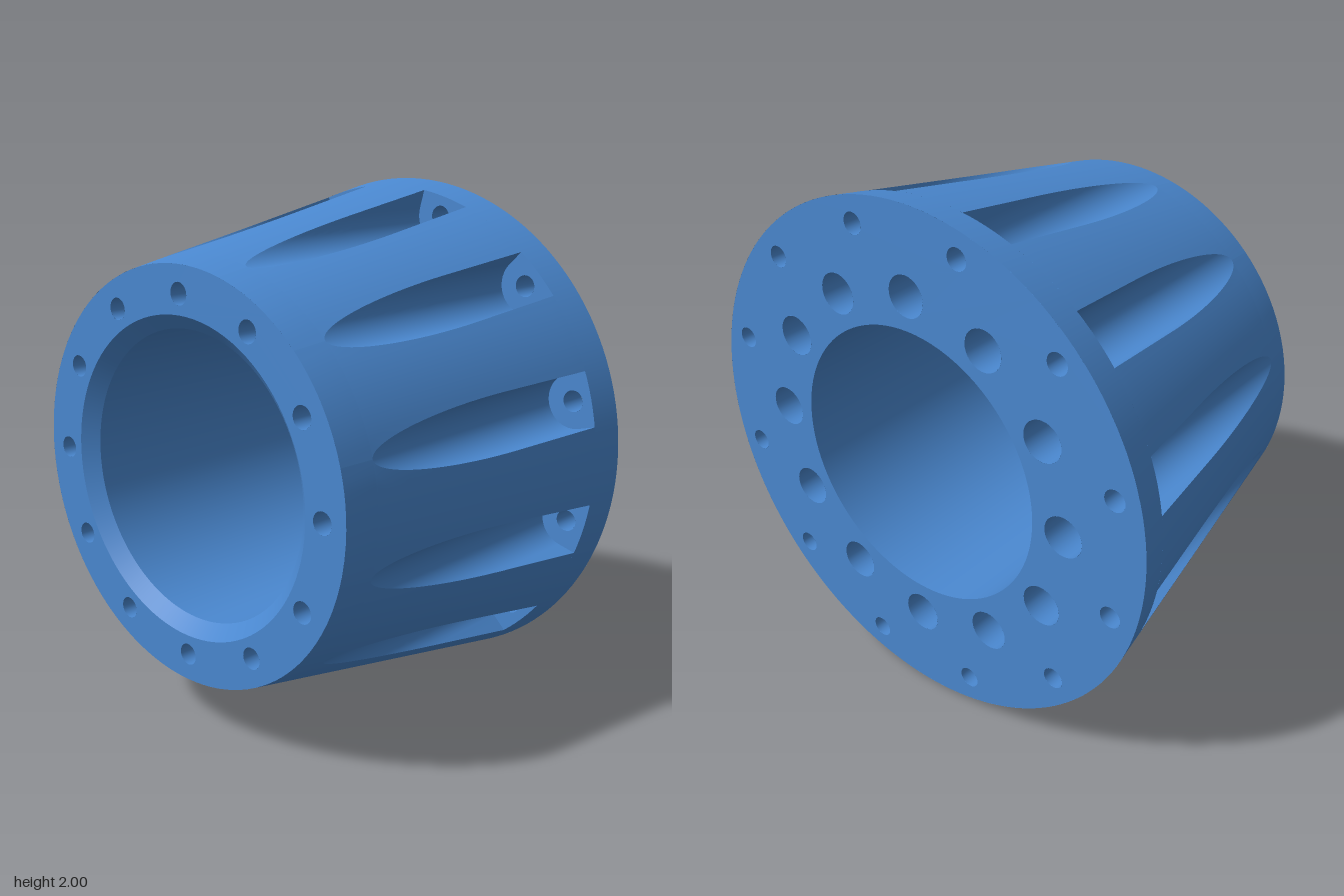
import * as THREE from 'three';

const BACK = -0.64, FRONT = 0.64, R_BACK = 1, R_FRONT = 0.772;
const BORE = 0.54, CHAMFER = 0.595, COUNT = 12, STEP = Math.PI * 2 / COUNT;
const SLOT_R = 0.105, SLOT_C = 0.9, SLOT_BACK = -0.515;   // flute radius, pitch radius, flat end
const BOLT_C = 0.67, BOLT_R = 0.041, BIG_R = 0.078, BIG_END = 0.51;
const coneR = z => R_BACK + (R_FRONT - R_BACK) * (z - BACK) / (FRONT - BACK);
const coneZ = r => BACK + (r - R_BACK) / (R_FRONT - R_BACK) * (FRONT - BACK);

// flute cross-section where the cone has radius r: [across, outward] points
function slotProfile(r, n = 24) {
  const c = (SLOT_C ** 2 + SLOT_R ** 2 - r * r) / (2 * SLOT_C * SLOT_R);
  const phi = Math.acos(Math.min(1, Math.max(0, c)));
  const pts = [];
  for (let i = 0; i <= n; i++) {
    const a = phi * (2 * i / n - 1);
    pts.push([SLOT_R * Math.sin(a), SLOT_C - SLOT_R * Math.cos(a)]);
  }
  const u = pts[n][0], v = Math.sqrt(r * r - u * u);
  return [[-u, v], ...pts, [u, v]];
}

// cone surface between two flutes, same layout
function landProfile(r, n = 10) {
  const [u, v] = slotProfile(r).at(-1);
  const a0 = Math.atan2(u, v), pts = [];
  for (let i = 0; i <= n; i++) {
    const a = a0 + (STEP - 2 * a0) * i / n;
    pts.push([r * Math.sin(a), r * Math.cos(a)]);
  }
  return pts;
}

// skin through a list of cross-sections
function loft(profile, zs) {
  const pos = [], idx = [];
  const rows = zs.map(z => profile(coneR(z)));
  const n = rows[0].length;
  rows.forEach((row, j) => row.forEach(([u, v]) => pos.push(v, u, zs[j])));
  for (let j = 0; j < zs.length - 1; j++) {
    for (let i = 0; i < n - 1; i++) {
      const a = j * n + i, b = a + 1, c = a + n, d = c + 1;
      idx.push(a, b, c, b, d, c);
    }
  }
  const g = new THREE.BufferGeometry();
  g.setAttribute('position', new THREE.Float32BufferAttribute(pos, 3));
  g.setIndex(idx);
  g.computeVertexNormals();
  return g;
}

// open tube along z
function tube(rBack, rFront, z0, z1, sides = 28) {
  return new THREE.CylinderGeometry(rFront, rBack, z1 - z0, sides, 1, true)
    .rotateX(Math.PI / 2).translate(0, 0, (z0 + z1) / 2);
}

function circleHole(x, y, r) {
  const p = new THREE.Path();
  p.absarc(x, y, r, 0, Math.PI * 2, true);
  return p;
}

// flat ring facing +z with circles of holes: [pitch radius, hole radius, start angle]
function ring(outer, inner, circles) {
  const s = new THREE.Shape();
  s.absarc(0, 0, outer, 0, Math.PI * 2, false);
  s.holes.push(circleHole(0, 0, inner));
  for (const [pitch, r, start] of circles) {
    for (let k = 0; k < COUNT; k++) {
      const a = start + k * STEP;
      s.holes.push(circleHole(pitch * Math.cos(a), pitch * Math.sin(a), r));
    }
  }
  return new THREE.ShapeGeometry(s, 48);
}

export function createModel() {
  const blue = new THREE.MeshStandardMaterial({ color: 0x4a88d0, side: THREE.DoubleSide });
  blue.name = 'blue';
  const model = new THREE.Group();
  model.name = 'flutedHub';
  const body = new THREE.Group();
  body.name = 'body';
  body.position.y = 1;
  model.add(body);

  const add = (name, geometry, parent = body) => {
    const m = new THREE.Mesh(geometry, blue);
    m.name = name;
    parent.add(m);
    return m;
  };

  // end faces, rear rim, bore and its chamfer
  add('frontFace', ring(R_FRONT, CHAMFER, [[BOLT_C, BOLT_R, 0]]).translate(0, 0, FRONT));
  add('backFace', ring(R_BACK, BORE, [[BOLT_C, BIG_R, 0], [SLOT_C, BOLT_R, STEP / 2]])
    .rotateY(Math.PI).translate(0, 0, BACK));
  add('rearRim', tube(R_BACK, coneR(SLOT_BACK), BACK, SLOT_BACK, 144));
  add('bore', tube(BORE, BORE, BACK, FRONT - 0.05, 96));
  add('boreChamfer', tube(BORE, CHAMFER, FRONT - 0.05, FRONT, 96));

  // slices packed towards the pointed tip of the flutes
  const tip = coneZ(SLOT_C - SLOT_R), zs = [];
  for (let i = 0; i <= 36; i++) zs.push(tip - (tip - SLOT_BACK) * (1 - i / 36) ** 2);
  const slotGeo = loft(slotProfile, zs);
  const landGeo = loft(landProfile, [...zs, FRONT]);

  // flat flute end with a bolt hole
  const endShape = new THREE.Shape();
  const endPts = slotProfile(coneR(SLOT_BACK));
  const half = Math.atan2(endPts.at(-1)[0], endPts.at(-1)[1]);
  for (let i = 1; i < 6; i++) {
    const a = half * (1 - i / 3), r = coneR(SLOT_BACK);
    endPts.push([r * Math.sin(a), r * Math.cos(a)]);
  }
  endShape.setFromPoints(endPts.map(([u, v]) => new THREE.Vector2(v, u)));
  endShape.holes.push(circleHole(SLOT_C, 0, BOLT_R));
  const endGeo = new THREE.ShapeGeometry(endShape, 24).translate(0, 0, SLOT_BACK);

  const flangeHole = tube(BOLT_R, BOLT_R, BACK, SLOT_BACK).translate(SLOT_C, 0, 0);
  const frontHole = tube(BOLT_R, BOLT_R, BIG_END, FRONT).translate(BOLT_C, 0, 0);
  const bigHole = tube(BIG_R, BIG_R, BACK, BIG_END).translate(BOLT_C, 0, 0);
  const stepRing = new THREE.RingGeometry(BOLT_R, BIG_R, 28).rotateY(Math.PI)
    .translate(BOLT_C, 0, BIG_END);

  for (let k = 0; k < COUNT; k++) {
    // flute and the land beside it
    const flute = new THREE.Group();
    flute.name = 'flute';
    flute.rotation.z = (k + 0.5) * STEP;
    add('fluteWall', slotGeo, flute);
    add('coneLand', landGeo, flute);
    add('fluteEnd', endGeo, flute);
    add('flangeHole', flangeHole, flute);
    // stepped hole running the full length
    const bolt = new THREE.Group();
    bolt.name = 'steppedHole';
    bolt.rotation.z = k * STEP;
    add('frontHole', frontHole, bolt);
    add('counterbore', bigHole, bolt);
    add('counterboreStep', stepRing, bolt);
    body.add(flute, bolt);
  }
  return model;
}
